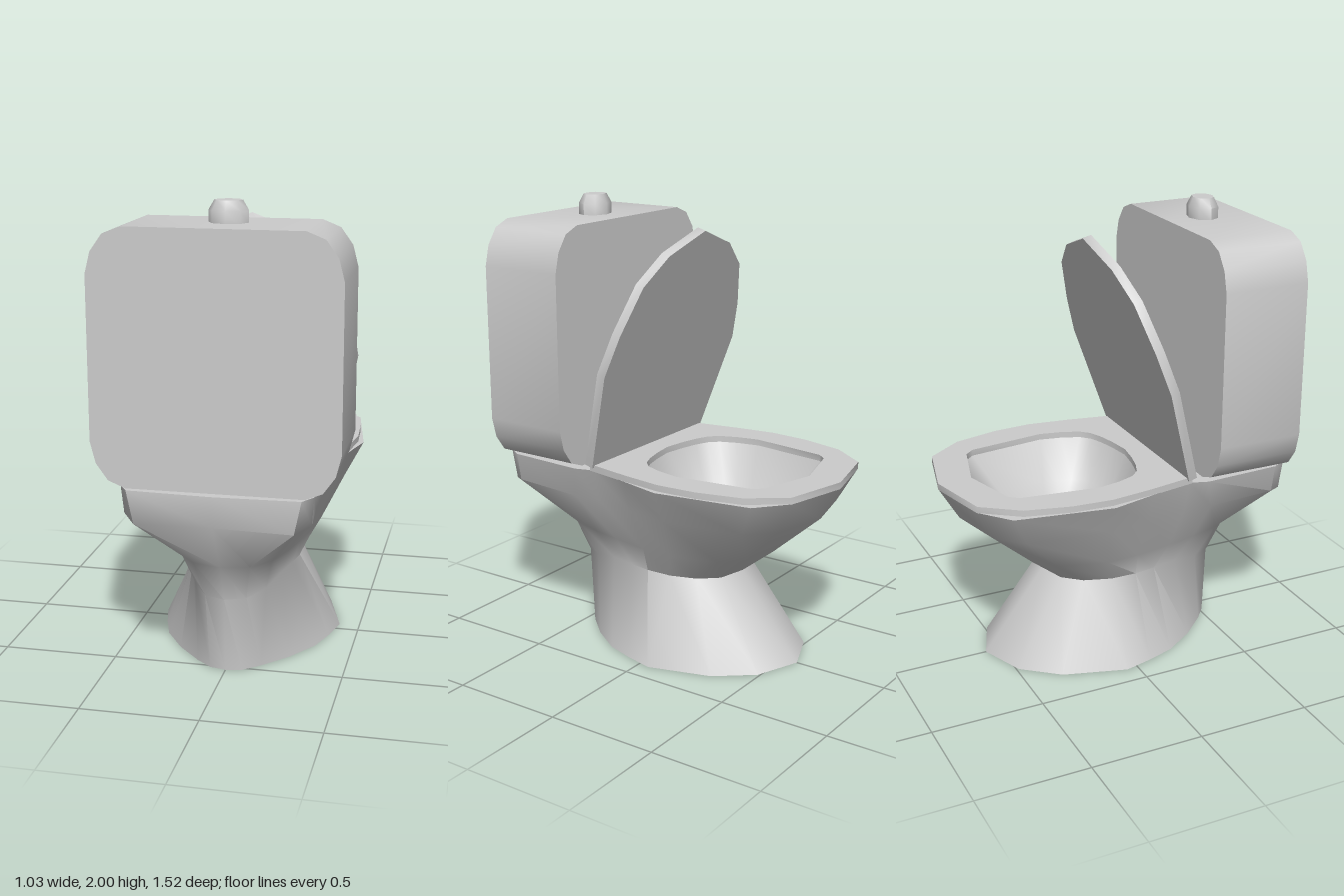
import * as THREE from 'three';
import { toCreasedNormals } from 'three/addons/utils/BufferGeometryUtils.js';

const material = new THREE.MeshStandardMaterial({ color: 0xcccccc });
const CREASE = 0.8;

// Half outlines run from the front centre, along +x, to the back centre.
const mirrored = half => [...half, ...half.slice(1, -1).reverse().map(([x, ...rest]) => [-x, ...rest])];

// Ring at height y; a point may carry its own height as a third number.
const ring = (y, half) => mirrored(half).map(([x, z, h = y]) => [x, h, z]);

// Skin through rings, closed back onto the first one.
function loft(rings) {
  const n = rings[0].length, index = [];
  rings.forEach((_, j) => {
    const k = (j + 1) % rings.length;
    for (let i = 0; i < n; i++) {
      const m = (i + 1) % n;
      const a = j * n + i, b = j * n + m, c = k * n + m, d = k * n + i;
      index.push(a, d, c, a, c, b);
    }
  });
  const geometry = new THREE.BufferGeometry();
  geometry.setAttribute('position', new THREE.Float32BufferAttribute(rings.flat(2), 3));
  geometry.setIndex(index);
  return toCreasedNormals(geometry, CREASE);
}

const toVectors = points => points.map(([x, y]) => new THREE.Vector2(x, y));

function slab(outline, depth, hole) {
  const shape = new THREE.Shape(toVectors(outline));
  if (hole) shape.holes.push(new THREE.Path(toVectors(hole)));
  return toCreasedNormals(new THREE.ExtrudeGeometry(shape, { depth, bevelEnabled: false }), CREASE);
}

export function createModel() {
  const group = new THREE.Group();
  const add = (name, geometry) => {
    const mesh = new THREE.Mesh(geometry, material);
    mesh.name = name;
    group.add(mesh);
    return mesh;
  };

  // Outer outlines of the body, from the floor up
  const foot = [[0, -0.57], [0.2, -0.49], [0.327, -0.33], [0.41, -0.05], [0.378, 0.08],
    [0.337, 0.205], [0.245, 0.344], [0.14, 0.457], [0.07, 0.515], [0, 0.53]];
  const neck = [[0, -0.28], [0.13, -0.25], [0.2, -0.17], [0.238, -0.05], [0.24, 0.07],
    [0.225, 0.17], [0.2, 0.29], [0.155, 0.42, 0.345], [0.09, 0.515, 0.33], [0, 0.55, 0.33]];
  const waist = [[0, -0.44], [0.16, -0.4], [0.25, -0.31], [0.31, -0.1], [0.3, 0.05],
    [0.27, 0.22], [0.24, 0.36], [0.195, 0.5], [0.12, 0.59], [0, 0.62]];
  const shoulder = [[0, -0.67], [0.25, -0.61], [0.36, -0.5], [0.41, -0.13], [0.38, 0.06],
    [0.35, 0.25], [0.36, 0.38], [0.39, 0.67, 0.73], [0.33, 0.745, 0.71], [0, 0.755, 0.72]];
  const rim = [[0, -0.76], [0.29, -0.69], [0.42, -0.58], [0.49, -0.15], [0.44, 0.05],
    [0.395, 0.25], [0.42, 0.33], [0.4, 0.68], [0.36, 0.745], [0, 0.76]];

  // Inner outlines: mouth, basin and drain
  const mouth = [[0, -0.61], [0.25, -0.54], [0.285, -0.5], [0.33, -0.15], [0.31, -0.05],
    [0.28, 0.03], [0.24, 0.07], [0.18, 0.095], [0.1, 0.115], [0, 0.13]];
  const drain = mouth.map((_, i) => {
    const angle = i * Math.PI / 9;
    return [0.107 * Math.sin(angle), -0.17 - 0.107 * Math.cos(angle)];
  });
  const basin = mouth.map(([x, z], i) => [
    THREE.MathUtils.lerp(drain[i][0], x, 0.6), THREE.MathUtils.lerp(drain[i][1], z, 0.6)]);

  add('bowlAndPedestal', loft([
    ring(0, drain), ring(0, foot), ring(0.375, neck), ring(0.5, waist), ring(0.7, shoulder),
    ring(0.852, rim), ring(0.852, mouth), ring(0.68, basin), ring(0.58, drain),
  ]));

  // Seat ring
  const seatOutline = [[0, -0.76], [0.29, -0.69], [0.405, -0.53], [0.453, -0.33], [0.465, -0.15],
    [0.44, 0.04], [0.4, 0.26], [0, 0.26]];
  const seat = slab(mirrored(seatOutline), 0.03, mirrored(mouth));
  seat.rotateX(Math.PI / 2);
  add('seat', seat).position.y = 0.88;

  // Raised lid, leaning over the bowl
  const lidOutline = [[0, 0], [0.415, 0], [0.49, 0.46], [0.45, 0.64], [0.366, 0.85],
    [0.23, 0.97], [0, 1.056]];
  const lid = add('lid', slab(mirrored(lidOutline), 0.04));
  lid.position.set(0, 0.868, 0.235);
  lid.rotation.x = -0.298;

  // Tank with faceted round corners
  const corner = [[0.365, 0.53], [0.44, 0.5], [0.49, 0.43], [0.513, 0.34]];
  const side = [[0, 0.53], ...corner, ...corner.map(([x, y]) => [x, -y]).reverse(), [0, -0.53]];
  add('tank', slab(mirrored(side), 0.39)).position.set(0, 1.381, 0.33);

  // Flush button: short octagonal post with a chamfered top
  const profile = [[0, 0], [0.082, 0], [0.082, 0.06], [0.058, 0.1], [0, 0.1]];
  const button = new THREE.LatheGeometry(toVectors(profile), 8);
  button.scale(1, 1, 0.8);
  add('flushButton', toCreasedNormals(button, 0.95)).position.set(0.018, 1.9, 0.506);

  return group;
}
